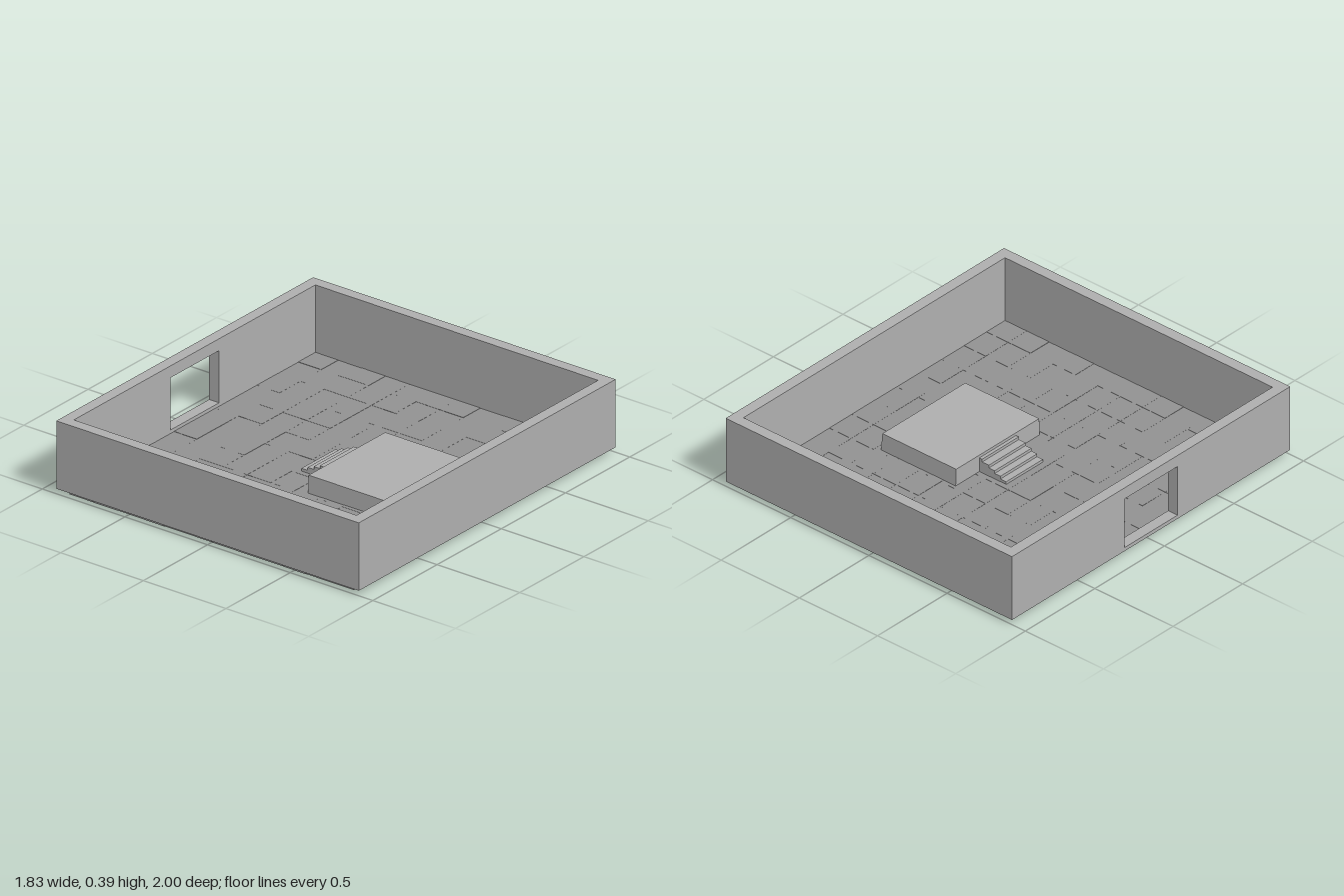
import * as THREE from 'three';

export function createModel() {
  const model = new THREE.Group();
  const stone = new THREE.MeshStandardMaterial({ color: 0xaeaeae });
  const darkStone = new THREE.MeshStandardMaterial({ color: 0x919191 });

  const add = (name, geometry, material = stone, parent = model) => {
    const mesh = new THREE.Mesh(geometry, material);
    mesh.name = name;
    parent.add(mesh);
    return mesh;
  };
  // Box given by its limits on each axis
  const block = (x0, x1, y0, y1, z0, z1) =>
    new THREE.BoxGeometry(x1 - x0, y1 - y0, z1 - z0)
      .translate((x0 + x1) / 2, (y0 + y1) / 2, (z0 + z1) / 2);

  const X = 0.915, Z = 1, innerX = 0.855, innerZ = 0.94;
  const base = 0.03, top = 0.39;

  // Plain walls
  add('frontWall', block(-X, X, base, top, innerZ, Z));
  add('backWall', block(-X, X, base, top, -Z, -innerZ));
  add('leftWall', block(innerX, X, base, top, -innerZ, innerZ));

  // Right wall, pierced by a doorway; drawn in z and y, extruded along x
  const wall = new THREE.Shape();
  wall.moveTo(-innerZ, base).lineTo(innerZ, base).lineTo(innerZ, top).lineTo(-innerZ, top).closePath();
  const doorway = new THREE.Path();
  doorway.moveTo(-0.19, 0.05).lineTo(-0.19, 0.327).lineTo(0.19, 0.327).lineTo(0.19, 0.05).closePath();
  wall.holes.push(doorway);
  add('rightWall', new THREE.ExtrudeGeometry(wall, { depth: X - innerX, bevelEnabled: false })
    .rotateY(-Math.PI / 2).translate(-innerX, 0, 0));

  // Floor: darker slabs in four repeating panels of 6 x 6, each slightly uneven
  const floor = new THREE.Group();
  floor.name = 'floor';
  model.add(floor);
  const tileX = 0.1433, tileZ = 0.1613;
  const slab = new THREE.BoxGeometry(tileX - 0.0005, 0.028, tileZ - 0.0005);
  const jitter = (n) => {
    const s = Math.sin(n * 12.9898) * 43758.5453;
    return (s - Math.floor(s)) * 2 - 1;
  };
  for (let i = 0; i < 12; i++) {
    for (let j = 0; j < 12; j++) {
      const seed = (i % 6) * 6 + (j % 6) + 1;
      const tile = add('floorSlab', slab, darkStone, floor);
      tile.position.set((i - 5.5) * tileX, 0.018 + 0.0008 * jitter(seed), (j - 5.5) * tileZ);
      if (seed % 4 === 0) tile.rotation.y = 0.015 * jitter(seed + 50);
    }
  }

  // Platform with slightly leaning sides
  const platform = block(0.066, 0.543, 0.028, 0.125, -0.302, 0.302);
  const p = platform.attributes.position;
  for (let i = 0; i < p.count; i++) {
    if (p.getY(i) < 0.1) continue;
    if (p.getX(i) > 0.3) p.setX(i, 0.538);
    p.setZ(i, Math.sign(p.getZ(i)) * 0.298);
  }
  platform.computeVertexNormals();
  add('platform', platform);

  // Solid steps: one stepped outline extruded across the flight
  const noses = [-0.106, -0.069, -0.032, 0.005, 0.048];
  const profile = new THREE.Shape();
  profile.moveTo(0.08, 0.028).lineTo(noses[0], 0.028);
  noses.forEach((x, i) => {
    const y = 0.032 + 0.0155 * (i + 1);
    profile.lineTo(x, y).lineTo(noses[i + 1] ?? 0.08, y);
  });
  profile.closePath();
  add('steps', new THREE.ExtrudeGeometry(profile, { depth: 0.264, bevelEnabled: false })
    .translate(0, 0, -0.132));

  return model;
}
